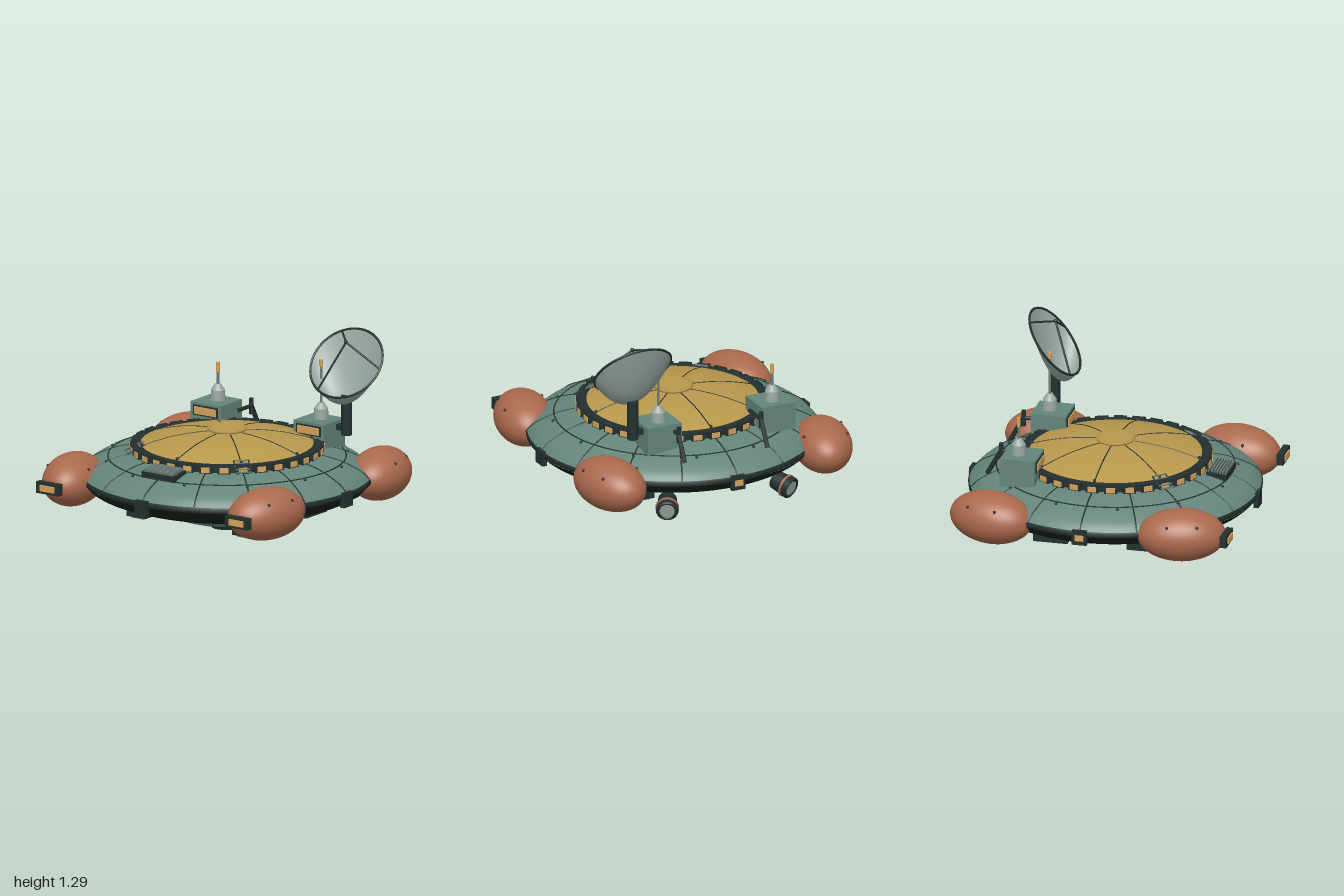
import * as THREE from 'three';

const mat = (name, color, side = THREE.FrontSide) => {
  const m = new THREE.MeshStandardMaterial({ color, side });
  m.name = name;
  return m;
};
const V = (x, y, z) => new THREE.Vector3(x, y, z);

export function createModel() {
  const green = mat('hullGreen', 0x64857a);
  const gold = mat('domeGold', 0xb8984c);
  const rust = mat('podRust', 0xab694d);
  const dark = mat('darkTrim', 0x22302f);
  const black = mat('underside', 0x18211f);
  const amber = mat('amberLight', 0xd9a45c);
  const grey = mat('paleGrey', 0x9aa8a4, THREE.DoubleSide);
  const steel = mat('steel', 0x6f7d7a);

  const root = new THREE.Group();
  const add = (name, geo, material, x = 0, y = 0, z = 0, parent = root) => {
    const m = new THREE.Mesh(geo, material);
    m.name = name;
    m.position.set(x, y, z);
    parent.add(m);
    return m;
  };
  const group = (name, parent = root) => {
    const g = new THREE.Group();
    g.name = name;
    parent.add(g);
    return g;
  };
  const box = (name, w, h, d, material, x, y, z, parent) =>
    add(name, new THREE.BoxGeometry(w, h, d), material, x, y, z, parent);
  const cyl = (name, r1, r2, h, material, x, y, z, parent) =>
    add(name, new THREE.CylinderGeometry(r1, r2, h, 20), material, x, y, z, parent);
  const rod = (name, a, b, r, material, parent) =>
    add(name, new THREE.TubeGeometry(new THREE.LineCurve3(a, b), 1, r, 8), material, 0, 0, 0, parent);
  const smooth = pts =>
    new THREE.SplineCurve(pts.map(p => new THREE.Vector2(...p))).getPoints(20);
  const lathe = (name, pts, material) => add(name, new THREE.LatheGeometry(pts, 96), material);
  const ring = (name, r, t, y, material) =>
    add(name, new THREE.TorusGeometry(r, t, 6, 96).rotateX(Math.PI / 2), material, 0, y, 0);

  // Saucer body
  const deck = smooth([[0.97, 0.375], [0.93, 0.415], [0.87, 0.45], [0.79, 0.485], [0.71, 0.51], [0.6, 0.53]]);
  const dome = smooth([[0.59, 0.57], [0.5, 0.598], [0.38, 0.628], [0.25, 0.648], [0.12, 0.658], [0, 0.66]]);
  lathe('upperHull', deck, green);
  lathe('lowerHull', smooth([[0.48, 0.152], [0.6, 0.175], [0.75, 0.212], [0.9, 0.27], [0.97, 0.335]]), black);
  lathe('rimBand', [[0.96, 0.33], [0.975, 0.34], [0.978, 0.365], [0.965, 0.38]].map(p => new THREE.Vector2(...p)), dark);
  lathe('belly', smooth([[0, 0.037], [0.13, 0.042], [0.28, 0.066], [0.42, 0.113], [0.5, 0.158]]), green);
  cyl('bellyCap', 0.125, 0.105, 0.045, dark, 0, 0.0225, 0);
  lathe('dome', dome, gold);
  cyl('domeCap', 0.12, 0.125, 0.025, gold, 0, 0.664, 0);
  ring('domeCapRing', 0.122, 0.011, 0.673, gold);

  // Panel seams and rivets
  const seams = group('seams');
  const seam = (profile, angle, r) => {
    const pts = profile.map(p => V(p.x * Math.sin(angle), p.y, p.x * Math.cos(angle)));
    add('seam', new THREE.TubeGeometry(new THREE.CatmullRomCurve3(pts), 20, r, 5), dark, 0, 0, 0, seams);
  };
  for (let i = 0; i < 16; i++) seam(deck, i * Math.PI / 8, 0.005);
  for (let i = 0; i < 8; i++) seam(dome.slice(0, 17), i * Math.PI / 4, 0.004);
  ring('deckSeam', 0.79, 0.005, 0.485, dark);
  const rivetGeo = new THREE.SphereGeometry(0.011, 8, 6);
  const rivet = (x, y, z, parent) => add('rivet', rivetGeo, dark, x, y, z, parent);
  for (let i = 0; i < 12; i++) {
    const a = (i + 0.5) * Math.PI / 6;
    rivet(0.81 * Math.sin(a), 0.48, 0.81 * Math.cos(a));
  }
  for (let i = 0; i < 8; i++) {
    const a = i * Math.PI / 4;
    rivet(0.57 * Math.sin(a), 0.585, 0.57 * Math.cos(a));
  }

  // Window ring round the dome
  add('windowRing', new THREE.CylinderGeometry(0.622, 0.622, 0.05, 96), dark, 0, 0.55, 0);
  lathe('ringTop', [[0.622, 0.574], [0.6, 0.582], [0.58, 0.574]].map(p => new THREE.Vector2(...p)), dark);
  for (let i = 0; i < 32; i++) {
    const w = group('window');
    w.rotation.y = i * Math.PI / 16;
    box('windowFrame', 0.088, 0.062, 0.04, dark, 0, 0.548, 0.622, w);
    box('windowPane', 0.058, 0.036, 0.008, amber, 0, 0.548, 0.644, w);
  }

  // Four corner pods, headlamps on the front pair
  for (const sx of [-1, 1]) for (const sz of [-1, 1]) {
    const pod = group(sz > 0 ? 'frontPod' : 'rearPod');
    pod.position.set(sx * 0.785, 0.345, sz * 0.65);
    pod.rotation.y = -0.25 * sx * sz;
    add('podShell', new THREE.SphereGeometry(1, 40, 28).scale(0.195, 0.175, 0.295), rust, 0, 0, 0, pod);
    for (const dx of [-0.145, 0.145]) for (const dz of [-0.1, 0.1]) {
      const h = 0.175 * Math.sqrt(1 - (dx / 0.195) ** 2 - (dz / 0.295) ** 2);
      rivet(dx, h, dz, pod);
    }
    if (sz > 0) {
      box('headlampHousing', 0.185, 0.078, 0.045, dark, sx * 0.77, 0.345, 0.952);
      box('headlamp', 0.115, 0.042, 0.009, amber, sx * 0.77, 0.345, 0.979);
    }
  }

  // Rim bumpers, marker lights at the back and right
  for (let i = 0; i < 4; i++) {
    const b = group('rimBumper');
    b.rotation.y = i * Math.PI / 2;
    box('bumperBlock', 0.1, 0.1, 0.035, dark, 0, 0.333, 0.972, b);
    if (i > 1) box('markerLight', 0.06, 0.04, 0.008, amber, 0, 0.333, 0.993, b);
  }

  // Underside vents
  for (const sx of [-1, 1]) for (const sz of [-1, 1]) {
    const v = group('undersideVent');
    v.position.set(sx * 0.43, 0.13, sz * 0.32);
    box('ventBox', 0.155, 0.085, 0.235, dark, 0, 0, 0, v);
    for (let i = 0; i < 6; i++) box('ventSlat', 0.1, 0.014, 0.014, steel, 0, -0.048, -0.09 + i * 0.036, v);
  }

  // Front grille
  const grille = group('frontGrille');
  grille.position.set(0, 0.51, 0.72);
  grille.rotation.x = 0.12;
  box('grilleBox', 0.265, 0.045, 0.14, dark, 0, 0, 0, grille);
  for (let i = 0; i < 7; i++) box('grilleSlat', 0.235, 0.022, 0.009, steel, 0, 0.03, -0.057 + i * 0.019, grille);

  // Small step ladders on the window ring
  for (const s of [-1, 1]) {
    const l = group('stepLadder');
    l.rotation.y = s * Math.PI / 4;
    for (const x of [-0.05, 0.05]) rod('ladderRail', V(x, 0.595, 0.56), V(x, 0.535, 0.68), 0.005, dark, l);
    for (let i = 0; i < 5; i++) box('ladderRung', 0.1, 0.008, 0.01, steel, 0, 0.595 - i * 0.013, 0.565 + i * 0.027, l);
  }

  // Rear thrusters, pointing outward and slightly down
  for (const s of [-1, 1]) {
    const t = group('thruster');
    t.position.set(s * 0.42, 0.18, -0.77);
    t.lookAt(s * 0.42 + s * 0.46, -0.08, -0.77 - 0.89);
    const part = (name, r1, r2, h, z, m) =>
      add(name, new THREE.CylinderGeometry(r1, r2, h, 28).rotateX(Math.PI / 2), m, 0, 0, z, t);
    part('thrusterBody', 0.075, 0.062, 0.13, 0.015, dark);
    part('thrusterBand', 0.079, 0.079, 0.014, 0.045, rust);
    part('thrusterLens', 0.05, 0.05, 0.008, 0.083, grey);
    add('thrusterLip', new THREE.TorusGeometry(0.063, 0.012, 8, 28), dark, 0, 0, 0.08, t);
  }

  // Equipment boxes with beacons and rear pipes
  for (const [x, rodTop, tipTop, px] of [[-0.463, 0.875, 0.94, -0.305], [0.377, 1.04, 1.085, 0.305]]) {
    const e = group('equipmentBox');
    box('cabinet', 0.25, 0.19, 0.24, green, x, 0.587, -0.525, e);
    box('cabinetFrame', 0.2, 0.07, 0.008, dark, x, 0.63, -0.403, e);
    box('cabinetWindow', 0.175, 0.05, 0.009, amber, x, 0.63, -0.396, e);
    cyl('beaconBase', 0.046, 0.05, 0.07, grey, x, 0.717, -0.545, e);
    cyl('beaconCone', 0.02, 0.046, 0.04, grey, x, 0.772, -0.545, e);
    cyl('beaconRod', 0.009, 0.009, rodTop - 0.78, steel, x, (rodTop + 0.78) / 2, -0.545, e);
    cyl('beaconTip', 0.013, 0.013, tipTop - rodTop, amber, x, (rodTop + tipTop) / 2, -0.545, e);
    rod('pipeArm', V(px, 0.63, -0.53), V(px, 0.63, -0.7), 0.014, dark, e);
    cyl('pipePost', 0.015, 0.015, 0.11, dark, px, 0.627, -0.705, e);
    rod('pipeLeg', V(px, 0.63, -0.705), V(px, 0.46, -0.8), 0.016, dark, e);
  }

  // Dish antenna: a bowl sheared so that the rim leans back
  const dish = group('dishAntenna');
  dish.position.set(0.573, 1.085, -0.56);
  const R = 0.272;
  const lean = (x, y, z) => V(x, y - z * 0.2 / R, z * 0.16 / R);
  const bowlPts = [];
  for (let i = 0; i <= 16; i++) bowlPts.push(new THREE.Vector2(R * i / 16, -0.22 * (1 - (i / 16) ** 2)));
  const bowl = new THREE.LatheGeometry(bowlPts, 56);
  const p = bowl.attributes.position;
  for (let i = 0; i < p.count; i++) {
    const q = lean(p.getX(i), p.getY(i), p.getZ(i));
    p.setXYZ(i, q.x, q.y, q.z);
  }
  bowl.computeVertexNormals();
  add('dishBowl', bowl, grey, 0, 0, 0, dish);
  const rimAt = a => lean(R * Math.cos(a), 0, -R * Math.sin(a));
  const rimPts = Array.from({ length: 32 }, (_, i) => rimAt(i * Math.PI / 16));
  add('dishRim', new THREE.TubeGeometry(new THREE.CatmullRomCurve3(rimPts, true), 80, 0.008, 6, true), dark, 0, 0, 0, dish);
  const feed = V(0, 0.145, 0.005);
  for (let i = 0; i < 3; i++) rod('feedStrut', rimAt(i * Math.PI * 2 / 3), feed, 0.007, dark, dish);
  add('feed', new THREE.SphereGeometry(0.014, 12, 8), dark, feed.x, feed.y, feed.z, dish);
  cyl('dishMast', 0.037, 0.037, 0.27, dark, 0.573, 0.73, -0.56);
  box('mastBracket', 0.07, 0.04, 0.04, dark, 0.52, 0.64, -0.56);

  return root;
}
